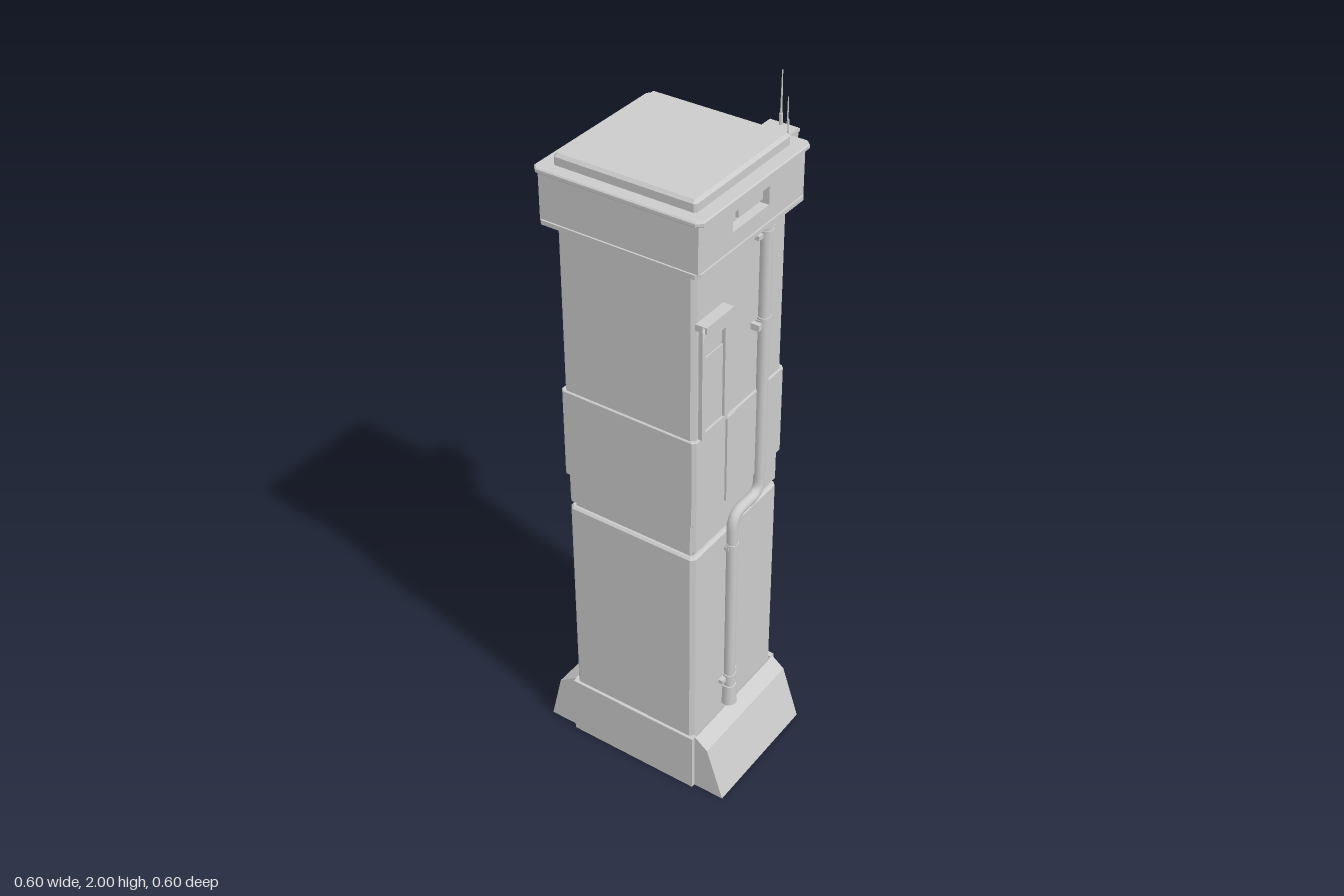
import * as THREE from 'three';

const mat = new THREE.MeshStandardMaterial({ color: 0xcccccc, flatShading: true, side: THREE.DoubleSide });
const smooth = new THREE.MeshStandardMaterial({ color: 0xcccccc, side: THREE.DoubleSide });

export function createModel() {
  const root = new THREE.Group();
  const add = (name, geo, m = mat) => {
    const mesh = new THREE.Mesh(geo, m);
    mesh.name = name;
    root.add(mesh);
    return mesh;
  };
  // Box given by its limits
  const box = (name, x0, x1, y0, y1, z0, z1) => {
    const g = new THREE.BoxGeometry(x1 - x0, y1 - y0, z1 - z0);
    g.translate((x0 + x1) / 2, (y0 + y1) / 2, (z0 + z1) / 2);
    return add(name, g);
  };
  const poly = (pts) => new THREE.Shape(pts.map(([x, y]) => new THREE.Vector2(x, y)));
  // Upright column with chamfered corners c and bevelled top and bottom b
  const column = (name, x0, x1, z0, z1, y0, y1, c, b = 0) => {
    const [l, r, f, k] = [x0 + b, x1 - b, -z1 + b, -z0 - b];
    const s = poly([[l + c, f], [r - c, f], [r, f + c], [r, k - c], [r - c, k], [l + c, k], [l, k - c], [l, f + c]]);
    const g = new THREE.ExtrudeGeometry(s, {
      depth: y1 - y0 - 2 * b, bevelEnabled: b > 0, bevelSize: b, bevelThickness: b, bevelSegments: 1,
    });
    g.rotateX(-Math.PI / 2).translate(0, y0 + b, 0);
    return add(name, g);
  };
  // Round rod between two points
  const rod = (name, a, b, r0, r1 = r0, n = 10) => {
    const p = new THREE.Vector3(...a), q = new THREE.Vector3(...b);
    const d = q.clone().sub(p);
    const mesh = add(name, new THREE.CylinderGeometry(r1, r0, d.length(), n), smooth);
    mesh.position.copy(p).add(q).multiplyScalar(0.5);
    mesh.quaternion.setFromUnitVectors(new THREE.Vector3(0, 1, 0), d.normalize());
    return mesh;
  };
  // Wall panel facing +x with a rectangular opening; limits are [z0, z1, y0, y1]
  const framedPanel = (name, x0, x1, [z0, z1, y0, y1], [a0, a1, b0, b1]) => {
    const s = poly([[-z1, y0], [-z0, y0], [-z0, y1], [-z1, y1]]);
    s.holes.push(poly([[-a1, b0], [-a1, b1], [-a0, b1], [-a0, b0]]));
    const g = new THREE.ExtrudeGeometry(s, { depth: x1 - x0, bevelEnabled: false });
    g.rotateY(Math.PI / 2).translate(x0, 0, 0);
    return add(name, g);
  };

  // Hollow foot with flared sides
  const left = [[-0.303, 0], [-0.268, 0.15], [-0.212, 0.19]];
  const right = [[0.3, 0], [0.247, 0.16], [0.208, 0.19]];
  for (const z of [-0.165, 0.23]) {
    const g = new THREE.ExtrudeGeometry(poly([...right, ...[...left].reverse()]), { depth: 0.007, bevelEnabled: false });
    add('footEndPlate', g.translate(0, 0, z));
  }
  for (const [side, dir] of [[left, 1], [right, -1]]) {
    const inner = side.map(([x, y]) => [x + 0.008 * dir, Math.max(0, y - 0.004)]).reverse();
    const g = new THREE.ExtrudeGeometry(poly([...side, ...inner]), { depth: 0.402, bevelEnabled: false });
    add('footFlare', g.translate(0, 0, -0.165));
  }
  box('footFrontPanel', -0.21, 0.205, 0, 0.19, 0.237, 0.249);
  box('footBackPanel', -0.21, 0.205, 0, 0.19, -0.175, -0.165);

  // Shaft
  column('lowerShaft', -0.205, 0.2, -0.165, 0.24, 0.18, 0.838, 0.008, 0.006);
  column('shaftGroove', -0.193, 0.188, -0.153, 0.228, 0.82, 0.87, 0.006);
  column('upperShaft', -0.205, 0.2, -0.165, 0.24, 0.852, 1.86, 0.008, 0.006);
  column('shaftBand', -0.211, 0.206, -0.171, 0.246, 0.95, 1.22, 0.008, 0.002);
  box('bandStrip', 0.2, 0.212, 0.955, 1.22, 0.07, 0.108);

  // Control panel with hood and its small aerial
  framedPanel('controlPanelFrame', 0.199, 0.211, [0.108, 0.222, 1.22, 1.545], [0.122, 0.208, 1.235, 1.5]);
  box('controlPanelDoor', 0.198, 0.204, 1.235, 1.45, 0.122, 0.208);
  box('controlPanelHood', 0.198, 0.232, 1.548, 1.566, 0.118, 0.236);
  rod('hoodAerialArm', [0.222, 1.56, 0.234], [0.262, 1.558, 0.298], 0.004, 0.002);
  rod('hoodAerialTip', [0.262, 1.54, 0.298], [0.262, 1.602, 0.298], 0.002);

  // Head: walls, rims and lid
  column('headBottomRim', -0.236, 0.231, -0.198, 0.27, 1.712, 1.724, 0.012);
  box('headFrontWall', -0.231, 0.226, 1.72, 1.86, 0.24, 0.265);
  box('headBackWall', -0.231, 0.226, 1.72, 1.86, -0.193, -0.165);
  box('headLeftWall', -0.231, -0.205, 1.72, 1.86, -0.165, 0.24);
  framedPanel('headRightWall', 0.2, 0.226, [-0.165, 0.24, 1.72, 1.86], [-0.035, 0.122, 1.768, 1.818]);
  box('headSlotInsert', 0.198, 0.208, 1.778, 1.81, -0.035, 0.072);
  column('headTopRim', -0.243, 0.24, -0.205, 0.277, 1.852, 1.866, 0.013, 0.003);
  column('lid', -0.205, 0.202, -0.167, 0.24, 1.855, 1.896, 0.002, 0.008);

  // Drain pipe along the right side
  const V = (y, z) => new THREE.Vector3(0.212, y, z);
  const path = new THREE.CurvePath();
  const line = (a, b) => path.add(new THREE.LineCurve3(a, b));
  const bend = (a, b, c) => path.add(new THREE.QuadraticBezierCurve3(a, b, c));
  line(V(0.21, 0.075), V(0.84, 0.075));
  bend(V(0.84, 0.075), V(0.886, 0.075), V(0.886, 0.035));
  line(V(0.886, 0.035), V(0.886, -0.01));
  bend(V(0.886, -0.01), V(0.886, -0.051), V(0.93, -0.051));
  line(V(0.93, -0.051), V(1.715, -0.051));
  add('drainPipe', new THREE.TubeGeometry(path, 160, 0.016, 12), smooth);
  rod('pipeOutlet', [0.212, 0.208, 0.075], [0.212, 0.275, 0.075], 0.023, 0.02, 12);
  for (const [y, z] of [[0.305, 0.075], [0.78, 0.075], [1.43, -0.051], [1.68, -0.051]]) {
    rod('pipeCollar', [0.212, y - 0.012, z], [0.212, y + 0.012, z], 0.019, 0.019, 12);
    const w = y === 0.305 || y === 1.68 ? 0.037 : 0.02;
    box('pipeBracket', 0.198, 0.214, y - 0.006, y + 0.006, z - w, z + w);
  }
  box('pipeBracketTab', 0.198, 0.224, 1.42, 1.438, -0.022, -0.008);

  // Radio box on the back of the head with its aerials
  box('radioBox', 0.08, 0.162, 1.72, 1.855, -0.265, -0.19);
  box('radioBoxLid', 0.077, 0.165, 1.845, 1.853, -0.267, -0.19);
  box('radioBoxLatch', 0.16, 0.166, 1.765, 1.825, -0.222, -0.205);
  rod('tallAerialBase', [0.117, 1.85, -0.255], [0.117, 1.885, -0.255], 0.005);
  rod('tallAerial', [0.117, 1.88, -0.255], [0.117, 2.0, -0.255], 0.003, 0.0015);
  rod('rearAerialArm', [0.111, 1.785, -0.264], [0.111, 1.785, -0.3], 0.004);
  rod('rearAerial', [0.111, 1.775, -0.297], [0.111, 1.91, -0.297], 0.003, 0.0015);
  rod('shortAerialArm', [0.123, 1.8, -0.264], [0.123, 1.8, -0.281], 0.004);
  rod('shortAerial', [0.123, 1.79, -0.28], [0.123, 1.86, -0.28], 0.003);
  rod('sideAerial', [0.163, 1.8, -0.214], [0.163, 1.9, -0.214], 0.003, 0.0015);
  return root;
}
